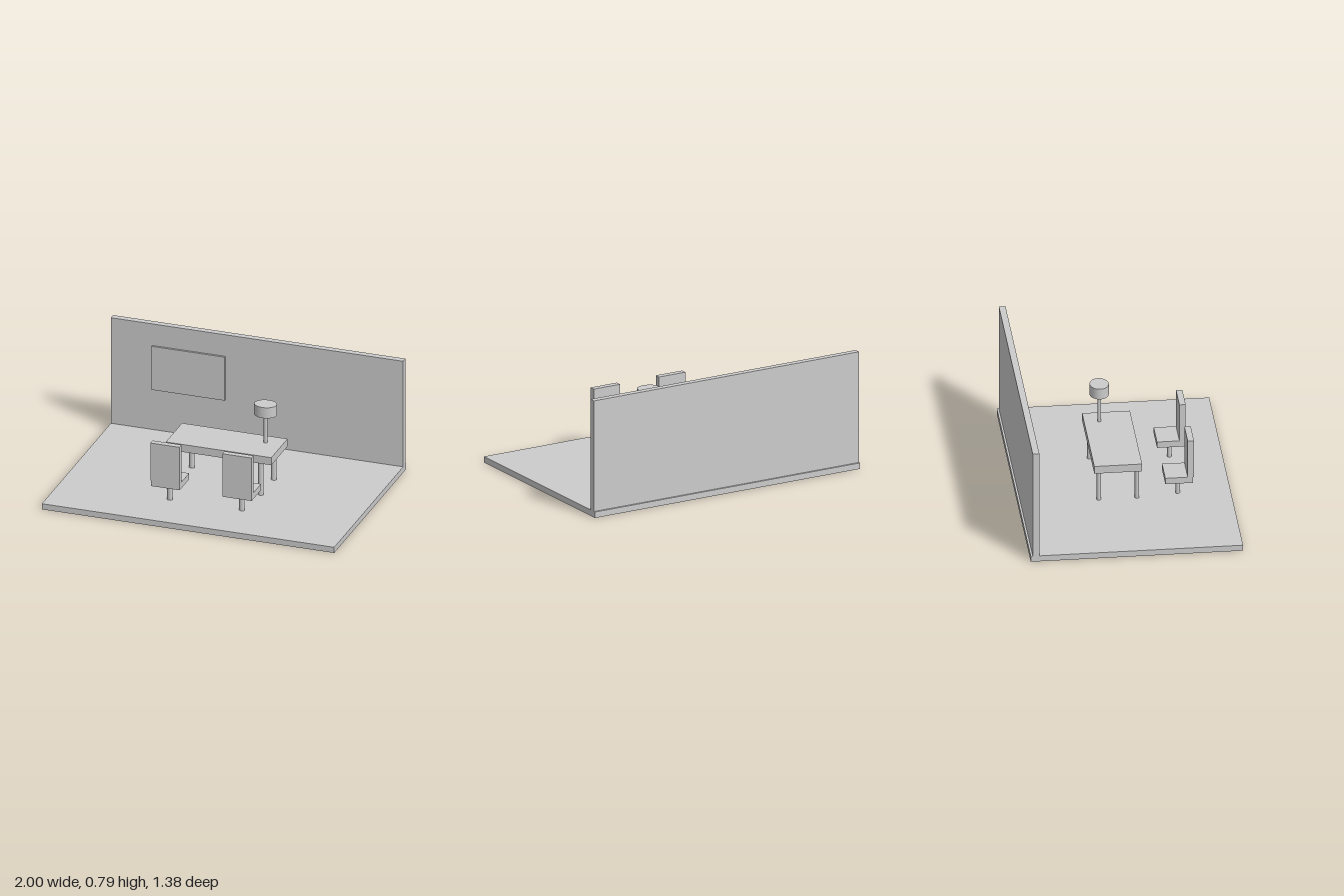
import * as THREE from 'three';

const material = new THREE.MeshStandardMaterial({ color: 0xcccccc });

// Box given by its min and max on each axis
function box(name, [x0, x1], [y0, y1], [z0, z1]) {
  const mesh = new THREE.Mesh(new THREE.BoxGeometry(x1 - x0, y1 - y0, z1 - z0), material);
  mesh.position.set((x0 + x1) / 2, (y0 + y1) / 2, (z0 + z1) / 2);
  mesh.name = name;
  return mesh;
}

// Upright post with an oval section (rx by rz)
function post(name, x, z, [y0, y1], rx, rz) {
  const mesh = new THREE.Mesh(new THREE.CylinderGeometry(1, 1, y1 - y0, 32), material);
  mesh.scale.set(rx, 1, rz);
  mesh.position.set(x, (y0 + y1) / 2, z);
  mesh.name = name;
  return mesh;
}

function group(name, ...parts) {
  const g = new THREE.Group();
  g.name = name;
  g.add(...parts);
  return g;
}

export function createModel() {
  const floorTop = 0.04;

  // Room shell
  const room = group('room',
    box('floor', [-1, 1], [0, floorTop], [-0.688, 0.688]),
    box('backWall', [-1, 1], [floorTop, 0.788], [-0.675, -0.632]),
    box('wallPanel', [-0.716, -0.217], [0.327, 0.635], [-0.632, -0.618]));

  // Table with four legs
  const table = group('table', box('tableTop', [-0.361, 0.361], [0.271, 0.324], [-0.206, 0.104]));
  for (const x of [-0.28, 0.28])
    for (const z of [-0.169, 0.079])
      table.add(post('tableLeg', x, z, [floorTop, 0.271], 0.018, 0.0147));

  // Lamp on the table
  const lamp = group('lamp',
    post('lampStem', 0.246, -0.108, [0.324, 0.522], 0.0125, 0.011),
    post('lampShade', 0.246, -0.108, [0.522, 0.597], 0.075, 0.062));

  // Two matching chairs, each on a single leg
  const chairs = [-0.246, 0.246].map((x) => group('chair',
    box('seat', [x - 0.099, x + 0.099], [0.158, 0.201], [0.256, 0.436]),
    box('backrest', [x - 0.099, x + 0.099], [0.2, 0.465], [0.401, 0.442]),
    post('chairLeg', x, 0.346, [floorTop, 0.158], 0.018, 0.0147)));

  return group('diningRoom', room, table, lamp, ...chairs);
}
